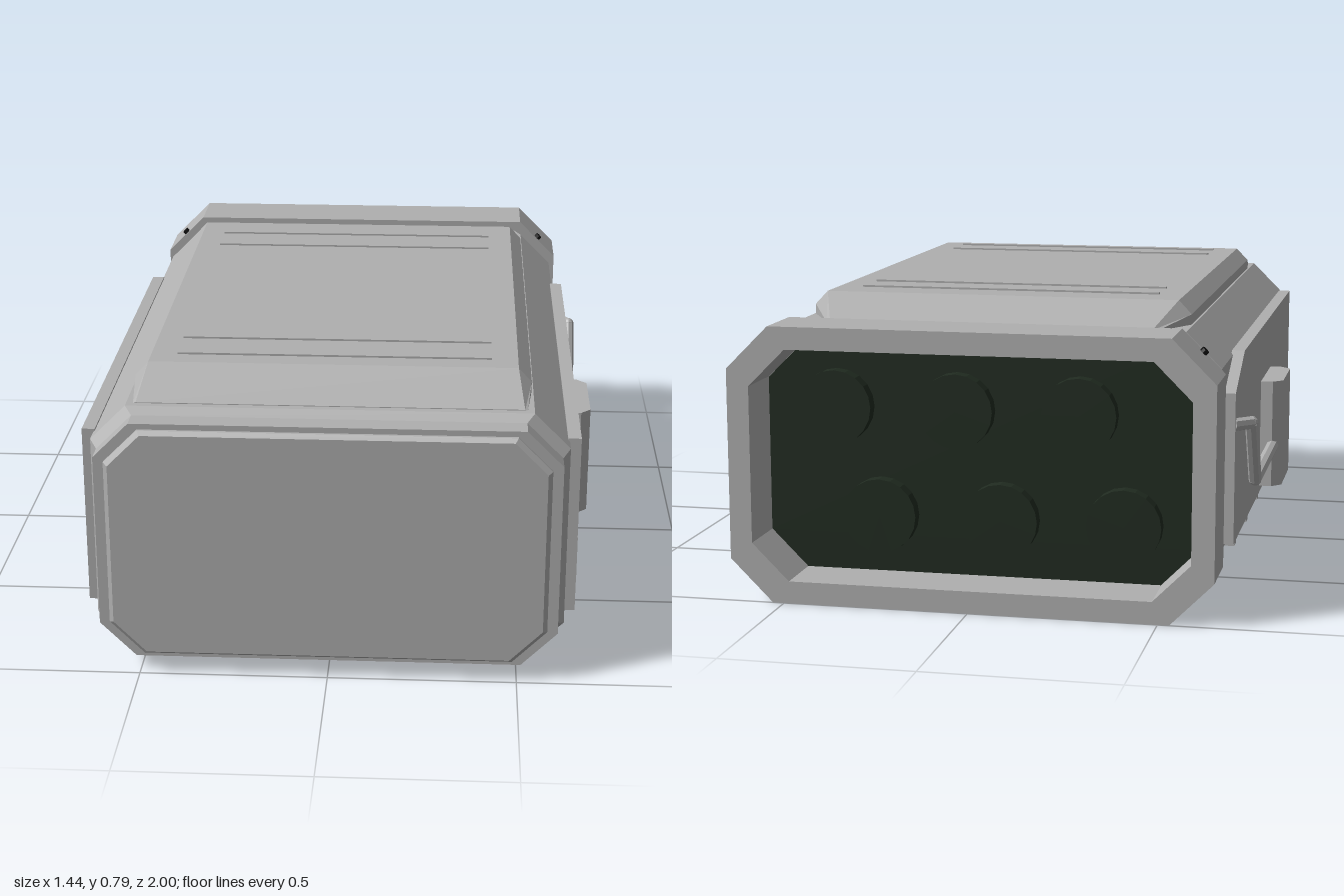
import * as THREE from 'three';

const hull = new THREE.MeshStandardMaterial({ name: 'hull grey', color: 0xb0b0b0 });
const dark = new THREE.MeshStandardMaterial({ name: 'dark green', color: 0x202b20 });
const black = new THREE.MeshStandardMaterial({ name: 'bolt black', color: 0x101010 });

// Octagonal section: half width, bottom, top, corner cut, z (counter-clockwise from the front)
function octagon(w, y0, y1, c, z) {
  return [[w, y0 + c], [w, y1 - c], [w - c, y1], [c - w, y1], [-w, y1 - c], [-w, y0 + c], [c - w, y0], [w - c, y0]]
    .map(([x, y]) => [x, y, z]);
}

// Faceted skin through matching rings, closed at both ends
function loft(rings) {
  const pos = [];
  const tri = (...pts) => pts.forEach((p) => pos.push(...p));
  const n = rings[0].length;
  for (let k = 0; k < rings.length - 1; k++) {
    const a = rings[k], b = rings[k + 1];
    for (let i = 0; i < n; i++) {
      const j = (i + 1) % n;
      tri(a[i], a[j], b[j]);
      tri(a[i], b[j], b[i]);
    }
  }
  const first = rings[0], last = rings[rings.length - 1];
  for (let i = 1; i < n - 1; i++) {
    tri(first[0], first[i + 1], first[i]);
    tri(last[0], last[i], last[i + 1]);
  }
  const g = new THREE.BufferGeometry();
  g.setAttribute('position', new THREE.Float32BufferAttribute(pos, 3));
  return g;
}

function flat(geo) {
  const g = geo.index ? geo.toNonIndexed() : geo;
  g.computeVertexNormals();
  return g;
}

// Mirror in x and restore the winding
function mirrored(geo) {
  const g = geo.clone().scale(-1, 1, 1);
  const p = g.attributes.position;
  const a = new THREE.Vector3(), b = new THREE.Vector3();
  for (let i = 0; i < p.count; i += 3) {
    a.fromBufferAttribute(p, i);
    b.fromBufferAttribute(p, i + 2);
    p.setXYZ(i, b.x, b.y, b.z);
    p.setXYZ(i + 2, a.x, a.y, a.z);
  }
  return g;
}

function box(x0, x1, y0, y1, z0, z1) {
  return new THREE.BoxGeometry(x1 - x0, y1 - y0, z1 - z0)
    .translate((x0 + x1) / 2, (y0 + y1) / 2, (z0 + z1) / 2);
}

function extrude(points, depth) {
  const shape = new THREE.Shape(points.map(([x, y]) => new THREE.Vector2(x, y)));
  return new THREE.ExtrudeGeometry(shape, { depth, bevelEnabled: false });
}

function rod(from, to, r, sides) {
  const a = new THREE.Vector3(...from), b = new THREE.Vector3(...to);
  const d = b.clone().sub(a);
  const q = new THREE.Quaternion().setFromUnitVectors(new THREE.Vector3(0, 1, 0), d.clone().normalize());
  return new THREE.CylinderGeometry(r, r, d.length(), sides)
    .applyQuaternion(q).translate(...a.add(b).multiplyScalar(0.5).toArray());
}

export function createModel() {
  const model = new THREE.Group();
  model.name = 'container';
  const add = (name, geo, mat = hull) => {
    const mesh = new THREE.Mesh(flat(geo), mat);
    mesh.name = name;
    model.add(mesh);
  };
  const pair = (name, geo, mat = hull) => {
    const g = flat(geo);
    add(name + 'Left', g, mat);
    add(name + 'Right', mirrored(g), mat);
  };

  // Main shell with stepped ends
  add('shell', loft([
    octagon(0.605, 0.04, 0.71, 0.095, -0.825),
    octagon(0.625, 0.03, 0.72, 0.095, -0.74),
    octagon(0.625, 0.03, 0.72, 0.095, 0.89),
    octagon(0.605, 0.042, 0.705, 0.095, 0.92),
    octagon(0.605, 0.042, 0.705, 0.095, 0.98),
  ]));
  add('frontCap', loft([
    octagon(0.577, 0.055, 0.69, 0.09, 0.97),
    octagon(0.577, 0.055, 0.69, 0.09, 0.988),
    octagon(0.565, 0.064, 0.68, 0.086, 1),
  ]));

  // Rear frame with a recess
  add('rearFrame', loft([
    octagon(0.585, 0.06, 0.68, 0.1, -0.832),
    octagon(0.585, 0.06, 0.68, 0.1, -1),
    octagon(0.645, 0, 0.74, 0.115, -1),
    octagon(0.645, 0, 0.74, 0.115, -0.82),
  ]));
  add('rearPanel', loft([
    octagon(0.584, 0.061, 0.679, 0.1, -0.84),
    octagon(0.584, 0.061, 0.679, 0.1, -0.833),
  ]), dark);
  for (const [y, shift] of [[0.51, 0.06], [0.22, -0.06]]) {
    for (const x of [-0.33, 0, 0.33]) {
      add('rearDisc', rod([x + shift, y, -0.835], [x + shift, y, -0.88], 0.1, 20), dark);
    }
  }

  // Raised roof with sloping ends
  const roofRing = (w, yShoulder, wTop, yTop, z) =>
    [[w, 0.71], [w, yShoulder], [wTop, yTop], [-wTop, yTop], [-w, yShoulder], [-w, 0.71]].map(([x, y]) => [x, y, z]);
  add('roof', loft([
    roofRing(0.45, 0.719, 0.44, 0.722, -0.745),
    roofRing(0.525, 0.748, 0.49, 0.785, -0.605),
    roofRing(0.525, 0.748, 0.49, 0.785, 0.73),
    roofRing(0.512, 0.719, 0.505, 0.722, 0.87),
  ]));
  for (const z of [0.66, 0.53, -0.36, -0.49]) {
    add('roofRib', box(-0.42, 0.42, 0.78, 0.79, z - 0.009, z + 0.009));
  }

  // Side panel with a cut rear corner
  pair('sidePanel', extrude(
    [[-0.845, 0.14], [0.68, 0.14], [0.68, 0.55], [0.48, 0.635], [-0.845, 0.635]], 0.035,
  ).rotateY(Math.PI / 2).translate(0.62, 0, 0));

  // Vent with upright bars
  pair('vent', box(0.652, 0.658, 0.16, 0.31, 0.38, 0.755), dark);
  for (let i = 0; i < 6; i++) {
    const z = 0.724 - i * 0.0645;
    pair('ventBar', box(0.652, 0.663, 0.168, 0.303, z - 0.01, z + 0.01));
  }

  // Side box with bevelled upright edges
  pair('sideBox', extrude(
    [[0.64, -0.245], [0.69, -0.245], [0.718, -0.217], [0.718, 0.003], [0.69, 0.032], [0.64, 0.032]], 0.315,
  ).rotateX(-Math.PI / 2).translate(0, 0.16, 0));

  // Bent pipe handle
  const path = [[0.69, 0.28, 0], [0.69, 0.28, -0.49], [0.69, 0.46, -0.605], [0.645, 0.462, -0.66]];
  for (let i = 0; i < 3; i++) {
    pair('handlePipe', rod(path[i], path[i + 1], 0.018, 8));
    if (i > 0) pair('handleElbow', new THREE.SphereGeometry(0.018, 8, 6).translate(...path[i]));
  }

  // Small brackets along the lower edge
  for (const z of [0.775, 0.485, 0.19, -0.105, -0.4]) {
    pair('bracket', box(0.57, 0.628, 0.07, 0.142, z - 0.02, z + 0.02));
  }

  // Bolts on the frame corners
  for (const [y, d] of [[0.6825, 1], [0.0575, -1]]) {
    pair('bolt', rod([0.58, y - d * 0.0075, -0.838], [0.595, y + d * 0.0075, -0.838], 0.011, 8), black);
  }
  return model;
}
